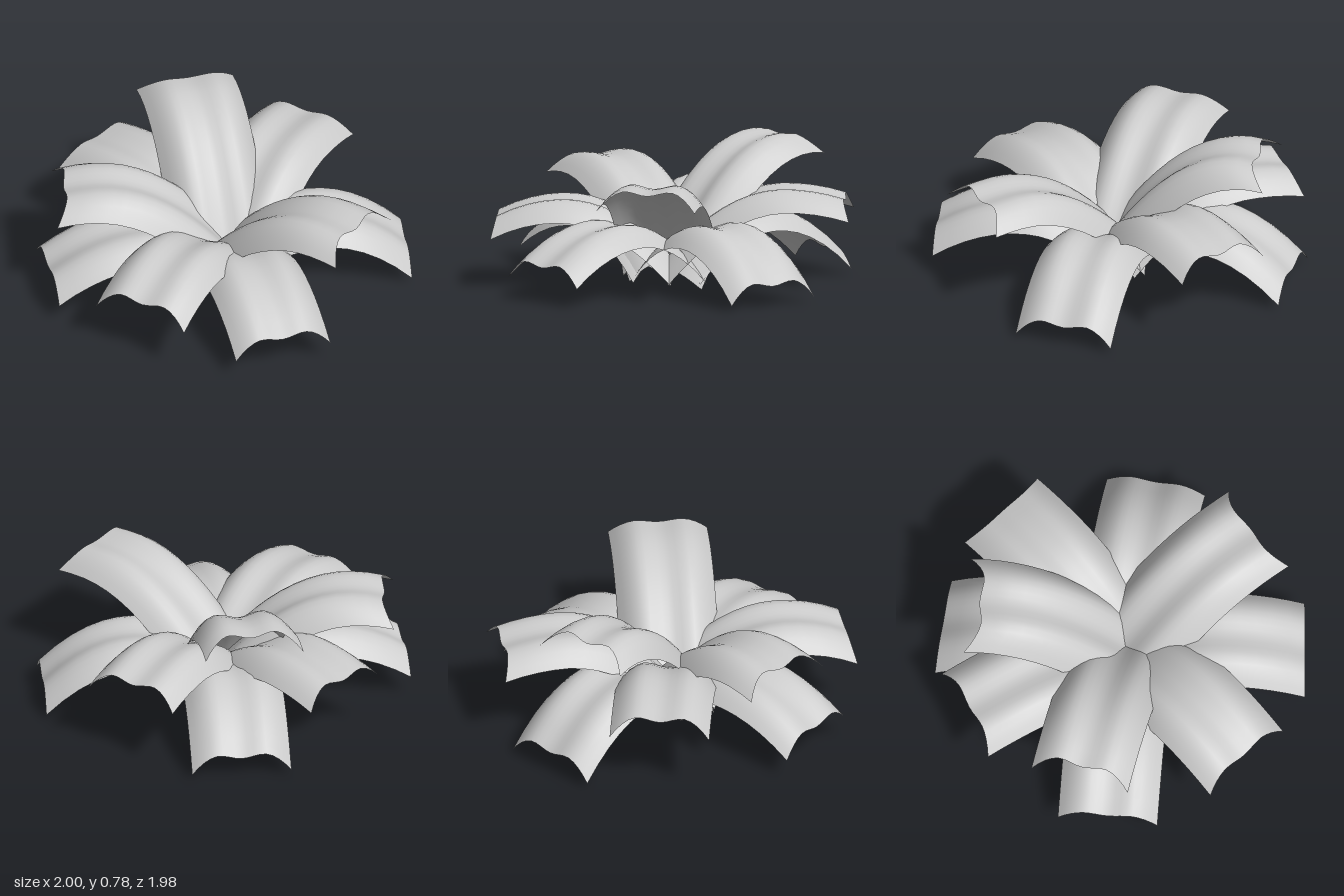
import * as THREE from 'three';

const material = new THREE.MeshStandardMaterial({ color: 0xcccccc, side: THREE.DoubleSide });
const CENTRE_X = 0.03;
const HALF_WIDTH = 0.275;
const DROP = 0.11;

// Depth of the M-shaped cross-section at u (-1..1), as a fraction of the drop
function foldDepth(u) {
  const a = Math.abs(u);
  const groove = 0.1 * (1 + Math.cos(Math.PI * Math.min(a / 0.45, 1)));
  const edge = Math.pow(Math.max(0, (a - 0.45) / 0.55), 1.8);
  return groove + edge;
}

// One full-width arching leaf: rises from the centre to a peak, then droops.
// x, z: tip position from the centre; peak, end: ridge heights; peakAt: radius of the peak;
// tilt: how far the cross-section leans outward.
function makeLeaf(name, { x, z, peak, end, peakAt, tilt = 0, base = 0.14 }) {
  const rows = 14, cols = 16;
  const lean = Math.sin(tilt) * DROP;
  const reach = Math.hypot(x, z) - lean;
  const positions = [], indices = [];
  for (let i = 0; i <= rows; i++) {
    const r = reach * Math.pow(i / rows, 1.3);
    const rise = 1 - r / peakAt;
    const y = r < peakAt
      ? base + (peak - base) * (1 - rise * rise)
      : peak - (peak - end) * ((r - peakAt) / (reach - peakAt)) ** 2;
    const setBack = lean * 1.2 * (1 - r / reach);
    for (let j = 0; j <= cols; j++) {
      const u = (j / cols) * 2 - 1;
      const d = foldDepth(u);
      positions.push(u * HALF_WIDTH, y - d * DROP * Math.cos(tilt * 0.5), r + d * lean - setBack);
      if (i < rows && j < cols) {
        const a = i * (cols + 1) + j, b = a + cols + 1;
        indices.push(a, b, a + 1, b, b + 1, a + 1);
      }
    }
  }
  const geometry = new THREE.BufferGeometry();
  geometry.setAttribute('position', new THREE.Float32BufferAttribute(positions, 3));
  geometry.setIndex(indices);
  geometry.computeVertexNormals();
  const leaf = new THREE.Mesh(geometry, material);
  leaf.name = name;
  leaf.rotation.y = Math.atan2(x, z);
  leaf.position.x = CENTRE_X;
  return leaf;
}

export function createModel() {
  const plant = new THREE.Group();
  plant.name = 'leafRosette';

  // Low drooping leaves on the diagonals
  const low = { peak: 0.395, peakAt: 0.5 };
  const lowLeaves = [
    { x: 0.805, z: -0.6, end: 0.14 },
    { x: -0.61, z: -0.805, end: 0.14 },
    { x: -0.75, z: 0.668, end: 0.22 },
    { x: 0.73, z: 0.68, end: 0.22 },
  ];
  lowLeaves.forEach((leaf) => plant.add(makeLeaf('lowLeaf', { ...low, ...leaf })));

  // Middle leaves
  const middleLeaves = [
    { x: 0, z: 0.99, peak: 0.485, end: 0.39, peakAt: 0.6, tilt: 0.25 },
    { x: 0, z: -0.99, peak: 0.55, end: 0.5, peakAt: 0.64, tilt: 0.35 },
    { x: -0.96, z: -0.26, peak: 0.505, end: 0.46, peakAt: 0.64, tilt: 0.35 },
  ];
  middleLeaves.forEach((leaf) => plant.add(makeLeaf('middleLeaf', leaf)));

  // Upper, steeper leaves
  const upperLeaves = [
    { x: 0.925, z: 0.1, peak: 0.655, end: 0.645, peakAt: 0.72, tilt: 0.65 },
    { x: -0.8, z: 0.495, peak: 0.645, end: 0.62, peakAt: 0.7, tilt: 0.6 },
    { x: -0.59, z: -0.635, peak: 0.785, end: 0.775, peakAt: 0.7, tilt: 0.9, base: 0.1 },
  ];
  upperLeaves.forEach((leaf) => plant.add(makeLeaf('upperLeaf', leaf)));
  return plant;
}
